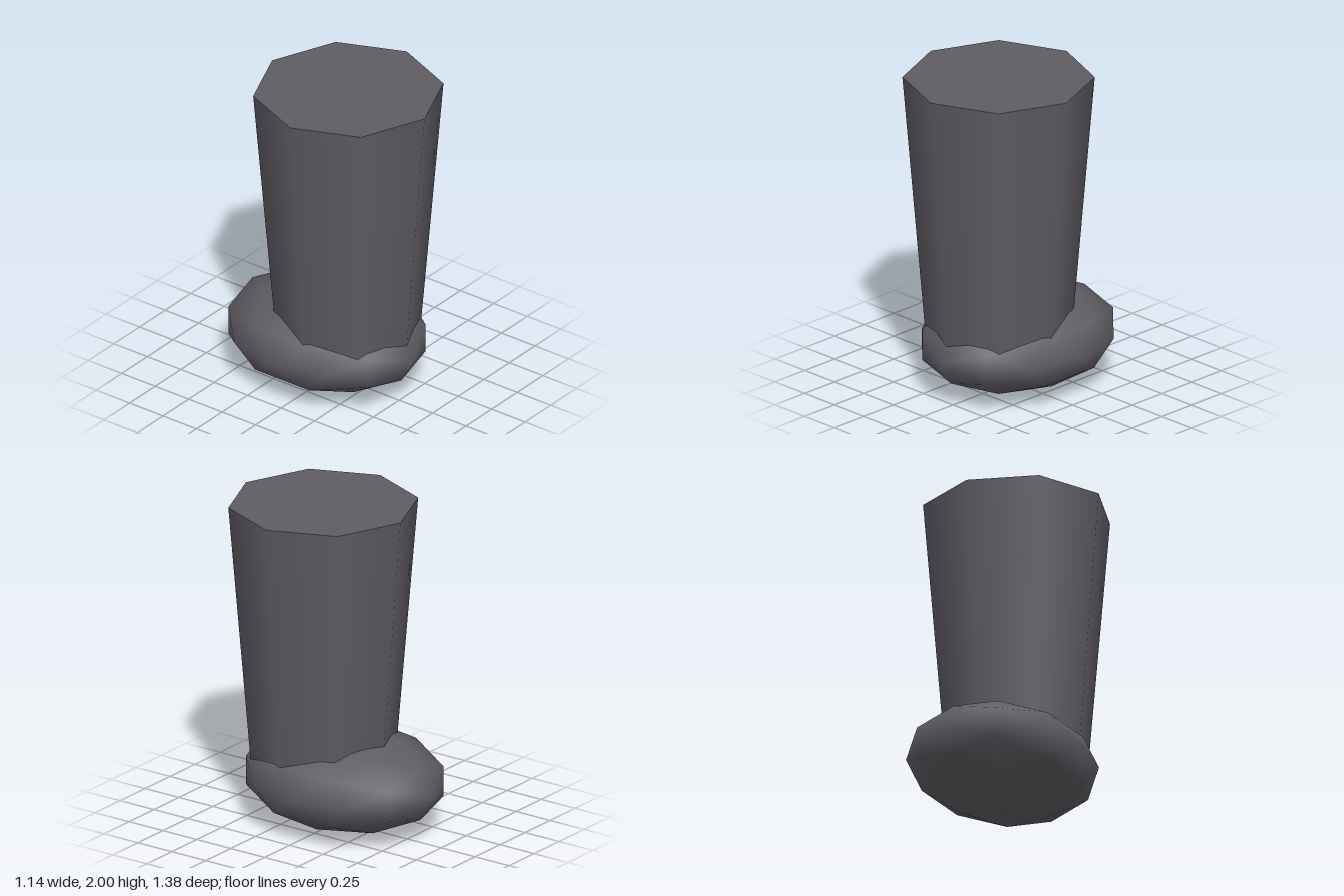
import * as THREE from 'three';

export function createModel() {
  const model = new THREE.Group();
  model.name = 'boot';

  const charcoal = new THREE.MeshStandardMaterial({ color: 0x5f5c62 });
  charcoal.name = 'charcoal';

  // Tapered eight-sided shaft, sunk into the foot
  const topY = 2, bottomY = 0.25;
  const shaft = new THREE.Mesh(
    new THREE.CylinderGeometry(0.57, 0.425, topY - bottomY, 8),
    charcoal
  );
  shaft.name = 'shaft';
  shaft.position.set(0, (topY + bottomY) / 2, 0.12);

  // Squashed low-poly ball with smooth normals, reaching out behind the shaft
  const footGeometry = new THREE.IcosahedronGeometry(1, 1);
  footGeometry.scale(0.541, 0.3, 0.654);
  const foot = new THREE.Mesh(footGeometry, charcoal);
  foot.name = 'foot';
  foot.position.set(0, 0.303, -0.04);

  model.add(shaft, foot);
  return model;
}
